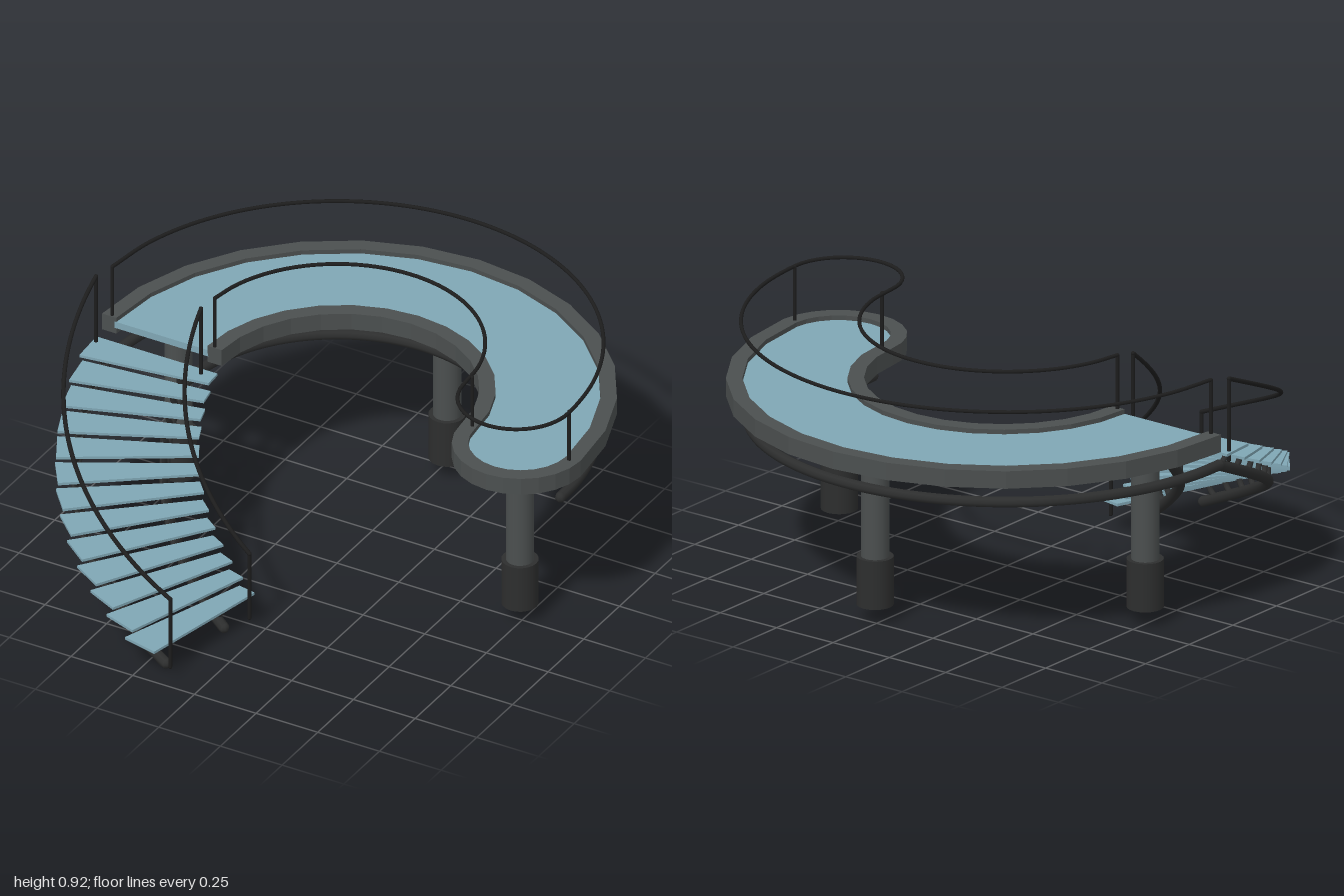
import * as THREE from 'three';

const mat = (name, color) => Object.assign(new THREE.MeshStandardMaterial({ color }), { name });
const V = (x, y, z) => new THREE.Vector3(x, y, z);
const rad = THREE.MathUtils.degToRad;

export function createModel() {
  const model = new THREE.Group();
  model.name = 'curvedStairAndDeck';
  const glass = mat('blueGlass', 0x7fa6b4);
  const steel = mat('greySteel', 0x4b4f4f);
  const dark = mat('darkSteel', 0x2d2e2e);
  const black = mat('blackRail', 0x1d1d1d);

  const add = (parent, name, geo, m) => {
    const mesh = new THREE.Mesh(geo, m);
    mesh.name = name;
    parent.add(mesh);
    return mesh;
  };
  const group = (name) => {
    const g = new THREE.Group();
    g.name = name;
    model.add(g);
    return g;
  };
  // Round bar along points, closed with a ball at each end
  const bar = (parent, name, pts, r, m, segs = pts.length * 3) => {
    const curve = pts.length === 2 ? new THREE.LineCurve3(...pts) : new THREE.CatmullRomCurve3(pts);
    add(parent, name, new THREE.TubeGeometry(curve, segs, r, 8), m);
    for (const p of [pts[0], pts[pts.length - 1]])
      add(parent, name + 'End', new THREE.SphereGeometry(r, 8, 6), m).position.copy(p);
  };
  // Horizontal slab from [x, z] points between two heights
  const slab = (pts, y0, y1) => {
    const s = new THREE.Shape(pts.map(([x, z]) => new THREE.Vector2(x, -z)));
    return new THREE.ExtrudeGeometry(s, { depth: y1 - y0, bevelEnabled: false })
      .rotateX(-Math.PI / 2).translate(0, y0, 0);
  };

  // Hook-shaped deck outline, inset by d: outer arc, rounded end, inner arc
  const outline = (d, cz, start = 0) => {
    const pts = [];
    const arc = (cx, r, a0, a1, n, skip) => {
      for (let i = skip; i <= n; i++) {
        const a = a0 + (a1 - a0) * i / n;
        pts.push([cx + r * Math.cos(a), cz + r * Math.sin(a)]);
      }
    };
    const R = 0.97 - d, r = 0.485 + d;
    arc(0, R, Math.PI + Math.asin(start / R), 2 * Math.PI, 14, 0);
    arc(0.7275, 0.2425 - d, 0, Math.PI, 12, 1);
    arc(0, r, 0, -Math.PI + Math.asin(start / r), 14, 1);
    return pts;
  };

  // Deck: glass floor inside a steel rim open at the stair end
  const deck = group('deck');
  add(deck, 'deckFloor', slab(outline(0.05, -0.03), 0.672, 0.698), glass);
  add(deck, 'deckRim', slab([...outline(0, -0.03), ...outline(0.058, -0.03).reverse()], 0.65, 0.715), steel);

  // Deck railing with its four posts
  const railing = group('deckRailing');
  const railPts = outline(0.035, 0, 0.04).map(([x, z]) => V(x, 0.915, z));
  bar(railing, 'deckHandrail', railPts, 0.007, black, 160);
  for (const p of [railPts[0], railPts[railPts.length - 1], V(0.525, 0.915, -0.04), V(0.932, 0.915, -0.015)])
    bar(railing, 'deckRailPost', [V(p.x, 0.7, p.z), p], 0.007, black, 1);

  // Columns with thicker feet
  for (const [x, z] of [[-0.735, -0.16], [0.03, -0.72], [0.73, -0.02]]) {
    const col = group('column');
    add(col, 'columnShaft', new THREE.CylinderGeometry(0.05, 0.05, 0.45, 20), steel).position.set(x, 0.45, z);
    add(col, 'columnFoot', new THREE.CylinderGeometry(0.066, 0.066, 0.18, 20), dark).position.set(x, 0.15, z);
  }

  // Point on the stair at radius r, angle a (degrees) and height y
  const P = (r, a, y) => V(-r * Math.cos(rad(a)), y, r * Math.sin(rad(a)));
  const spiral = (r, a0, a1, y0, y1, n = 16) => Array.from({ length: n + 1 }, (_, i) =>
    P(r, a0 + (a1 - a0) * i / n, y0 + (y1 - y0) * i / n));

  const stair = group('stair');
  const stringerY = (a) => 0.572 - 0.55 * (a - 2) / 77;
  for (const [side, r] of [['outer', 0.915], ['inner', 0.605]]) {
    // Level beam under the deck, running on into the stair stringer
    bar(deck, side + 'DeckBeam', spiral(r, 2, -181, 0.572, 0.572, 28), 0.02, dark);
    bar(stair, side + 'Stringer', spiral(r, 2, 79, 0.572, 0.022), 0.02, dark);
  }

  // Treads, each on two curved brackets
  const count = 13;
  for (let i = 0; i < count; i++) {
    const a = i * 6.05, t = i / (count - 1), y = 0.63 - 0.51 * t;
    const ro = 0.975 + 0.035 * t, k = 1.035;
    const corners = [P(0.485, a * k, 0), P(ro, a, 0), P(ro, a + 8, 0), P(0.485, (a + 8) * k, 0)];
    add(stair, 'tread', slab(corners.map((p) => [p.x, p.z]), y - 0.005, y + 0.005), glass);
    for (const r of [0.915, 0.605]) {
      const s = 0.605 / r, b = a + 2;
      bar(stair, 'treadBracket', [
        P(r, b, stringerY(b)),
        P(r, b + 3 * s, y - 0.045),
        P(r, b + 4.6 * s, y - 0.006),
      ], 0.011, dark, 6);
    }
  }

  // Stair handrails with a post at top and bottom
  const stairRail = (name, r0, a0, a1, postTop, yEnd) => {
    const pts = spiral(r0, a0, a1, 0.905, yEnd);
    bar(stair, name + 'Handrail', pts, 0.008, black, 64);
    const end = pts[pts.length - 1];
    bar(stair, name + 'TopPost', [V(pts[0].x, postTop, pts[0].z), pts[0]], 0.007, black, 1);
    bar(stair, name + 'BottomPost', [V(end.x, 0.05, end.z), end], 0.007, black, 1);
  };
  stairRail('outer', 0.96, 1.8, 82.5, 0.6, 0.33);
  stairRail('inner', 0.535, 3.2, 85, 0.6, 0.315);

  return model;
}
